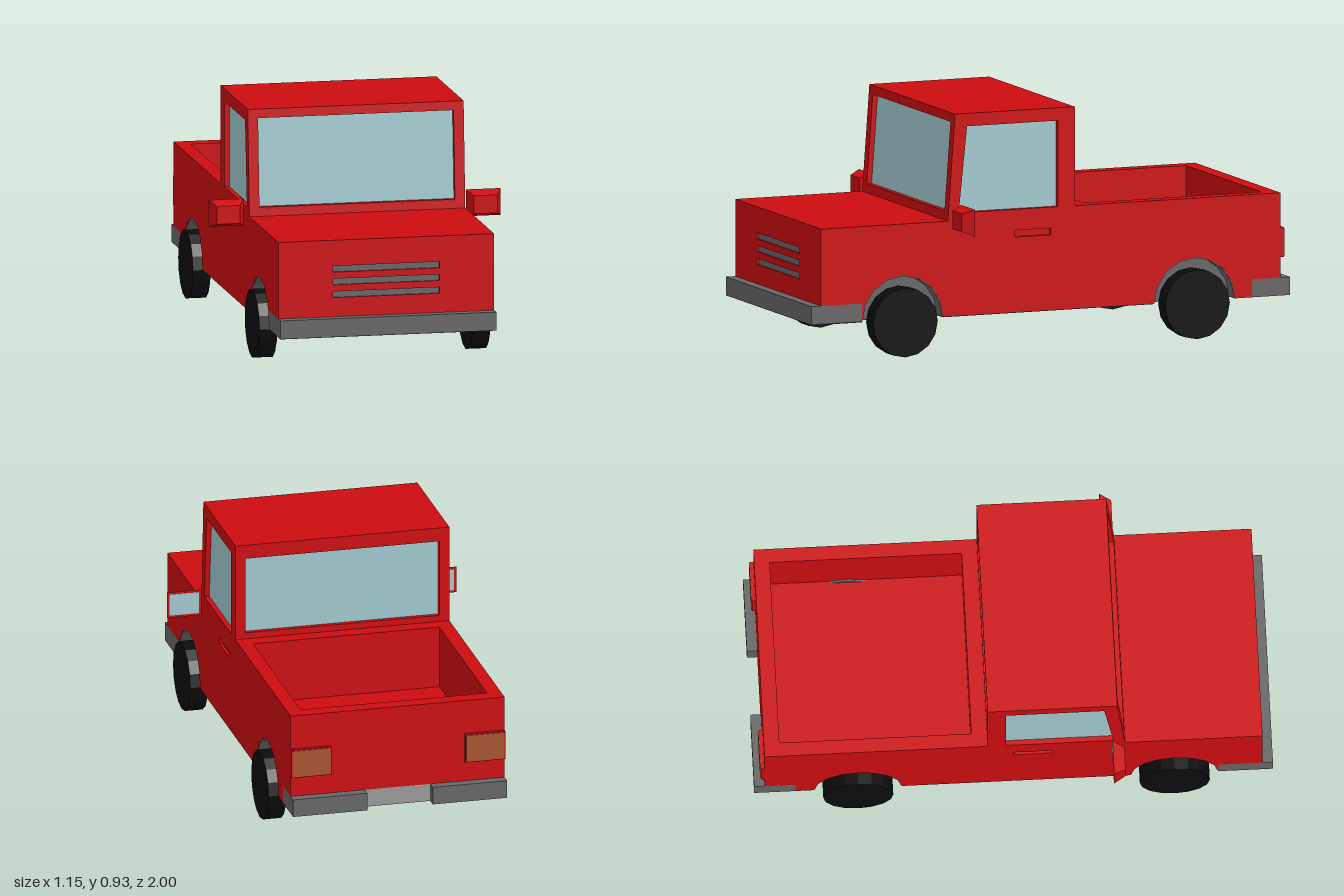
import * as THREE from 'three';

const paint = (color) => new THREE.MeshStandardMaterial({ color, flatShading: true });
const RED = paint(0xcc0c10), GREY = paint(0x666666), DARK = paint(0x2d2d2d), BLACK = paint(0x0c0c0c);
const GLASS = paint(0xa0c8ce), ORANGE = paint(0xa8552f), SILVER = paint(0x999999);

const toPath = (pts, Type = THREE.Shape) => new Type(pts.map(([a, b]) => new THREE.Vector2(a, b)));
const rect = (a0, a1, b0, b1) => [[a0, b0], [a1, b0], [a1, b1], [a0, b1]];

export function createModel() {
  const model = new THREE.Group();
  const add = (name, geometry, material) => {
    const mesh = new THREE.Mesh(geometry, material);
    mesh.name = name;
    model.add(mesh);
    return mesh;
  };
  const box = (name, mat, x0, x1, y0, y1, z0, z1) =>
    add(name, new THREE.BoxGeometry(x1 - x0, y1 - y0, z1 - z0)
      .translate((x0 + x1) / 2, (y0 + y1) / 2, (z0 + z1) / 2), mat);
  // Prism with a (z, y) outline running from x0 to x1
  const prism = (name, mat, pts, x0, x1, holes = []) => {
    const shape = toPath(pts);
    shape.holes = holes.map((h) => toPath(h, THREE.Path));
    const geo = new THREE.ExtrudeGeometry(shape, { depth: x1 - x0, bevelEnabled: false });
    return add(name, geo.rotateY(-Math.PI / 2).translate(x1, 0, 0), mat);
  };
  // The same part on both sides of the truck
  const bothSides = (x0, x1, build) => {
    build('left', x0, x1, 1);
    build('right', -x1, -x0, -1);
  };

  const axles = [-0.6, 0.62], archR = 0.17, base = 0.145;
  const arch = (zc) => Array.from({ length: 9 }, (_, i) => {
    const a = Math.PI * (1 - i / 8);
    return [zc + archR * Math.cos(a), base + archR * Math.sin(a)];
  });

  // Body sides with wheel arches and a recessed door handle
  const sideOutline = [
    [0.96, 0.215], [0.96, 0.515], [0.43, 0.515], [0.428, 0.545], [-0.96, 0.545],
    [-0.96, 0.215], [-0.84, 0.215], [-0.84, base],
    ...arch(axles[0]), ...arch(axles[1]), [0.79, 0.215],
  ];
  const handle = rect(0, 0.15, 0.437, 0.463);
  bothSides(0.37, 0.425, (s, x0, x1) => prism(s + 'BodySide', RED, sideOutline, x0, x1, [handle]));
  bothSides(0.37, 0.413, (s, x0, x1) => prism(s + 'DoorHandle', RED, handle, x0, x1));

  // Hood, cab base, cargo bed and tailgate
  box('hood', RED, -0.37, 0.37, base, 0.515, 0.43, 0.95);
  prism('cabBase', RED, [[0.43, base], [0.43, 0.515], [0.428, 0.545], [-0.16, 0.545], [-0.16, base]], -0.37, 0.37);
  box('bedFloor', RED, -0.37, 0.37, base, 0.3, -0.955, -0.16);
  box('tailgate', RED, -0.37, 0.37, 0.215, 0.545, -0.96, -0.9);

  // Front panel with grille slots
  const front = toPath(rect(-0.37, 0.37, 0.215, 0.515));
  for (const y of [0.302, 0.352, 0.402]) {
    front.holes.push(toPath(rect(-0.21, 0.21, y - 0.012, y + 0.012), THREE.Path));
  }
  add('frontPanel', new THREE.ExtrudeGeometry(front, { depth: 0.01, bevelEnabled: false })
    .translate(0, 0, 0.95), RED);
  box('grille', GREY, -0.23, 0.23, 0.28, 0.425, 0.94, 0.952);

  // Cab pillars, roof and window bars
  const pillars = [
    [0.428, 0.545], [0.4, 0.93], [-0.1, 0.93], [-0.1, 0.545],
    [-0.03, 0.545], [-0.03, 0.88], [0.35, 0.88], [0.385, 0.545],
  ];
  bothSides(0.385, 0.425, (s, x0, x1) => prism(s + 'CabPillars', RED, pillars, x0, x1));
  prism('roof', RED, [[0.4025, 0.895], [0.4, 0.93], [-0.1, 0.93], [-0.1, 0.895]], -0.385, 0.385);
  box('rearWindowTopBar', RED, -0.385, 0.385, 0.875, 0.896, -0.1, -0.06);
  box('rearWindowSill', RED, -0.385, 0.385, 0.54, 0.57, -0.1, -0.06);
  prism('windshieldSill', RED, [[0.428, 0.54], [0.4275, 0.55], [0.39, 0.55], [0.39, 0.54]], -0.385, 0.385);
  prism('windows', GLASS, [[0.408, 0.545], [0.382, 0.896], [-0.082, 0.896], [-0.082, 0.545]], -0.405, 0.405);

  // Bumpers and rear plate
  box('frontBumper', GREY, -0.425, 0.425, base, 0.215, 0.79, 1);
  bothSides(0.13, 0.425, (s, x0, x1) => box(s + 'RearBumper', GREY, x0, x1, base, 0.215, -1, -0.84));
  box('rearPlate', SILVER, -0.13, 0.13, base, 0.215, -0.96, -0.95);

  // Underside
  box('underside', DARK, -0.37, 0.37, 0.142, 0.147, -0.95, 0.95);
  box('undersideFront', DARK, -0.425, 0.425, 0.142, 0.147, 0.79, 0.998);
  bothSides(0.37, 0.424, (s, x0, x1) => box(s + 'UndersideEdge', DARK, x0, x1, 0.142, 0.147, -0.43, 0.45));

  // Tail lights
  bothSides(0.265, 0.425, (s, x0, x1) => {
    box(s + 'TailLightHousing', RED, x0, x1, 0.295, 0.41, -0.974, -0.96);
    box(s + 'TailLight', ORANGE, x0 + 0.004, x1 - 0.004, 0.299, 0.406, -0.977, -0.97);
  });

  // Side mirrors tapering to the front
  bothSides(0.438, 0.575, (s, x0, x1) => {
    const geo = new THREE.BoxGeometry(x1 - x0, 0.105, 0.045);
    const p = geo.attributes.position;
    for (let i = 0; i < p.count; i++) {
      if (p.getZ(i) > 0) p.setXY(i, p.getX(i) * 0.67, p.getY(i) * 0.67);
    }
    geo.computeVertexNormals();
    add(s + 'Mirror', geo.translate((x0 + x1) / 2, 0.525, 0.403), RED);
    box(s + 'MirrorGlass', GLASS, x0 + 0.01, x1 - 0.01, 0.482, 0.568, 0.379, 0.384);
  });

  // Wheels, wells and axles
  axles.forEach((z, i) => {
    const end = i ? 'front' : 'rear';
    box(end + 'Axle', GREY, -0.39, 0.39, 0.105, 0.165, z - 0.03, z + 0.03);
    bothSides(0.385, 0.455, (s, x0, x1, dir) => {
      const name = end + (dir > 0 ? 'Left' : 'Right');
      const wheel = new THREE.CylinderGeometry(0.135, 0.135, x1 - x0, 16).rotateZ(Math.PI / 2);
      add(name + 'Wheel', wheel.translate((x0 + x1) / 2, 0.135, z), BLACK);
      // Grey lining: back wall and a thin arched rim
      const inner = dir > 0 ? 0.362 : -0.372;
      prism(name + 'WellWall', GREY, arch(z), inner, inner + 0.01);
      const lining = arch(z).map(([a, b]) => [z + (a - z) * 0.98, base + (b - base) * 0.98]);
      const rimX = dir > 0 ? 0.37 : -0.424;
      prism(name + 'WellRim', GREY, [...arch(z), ...lining.reverse()], rimX, rimX + 0.054);
    });
  });

  return model;
}
